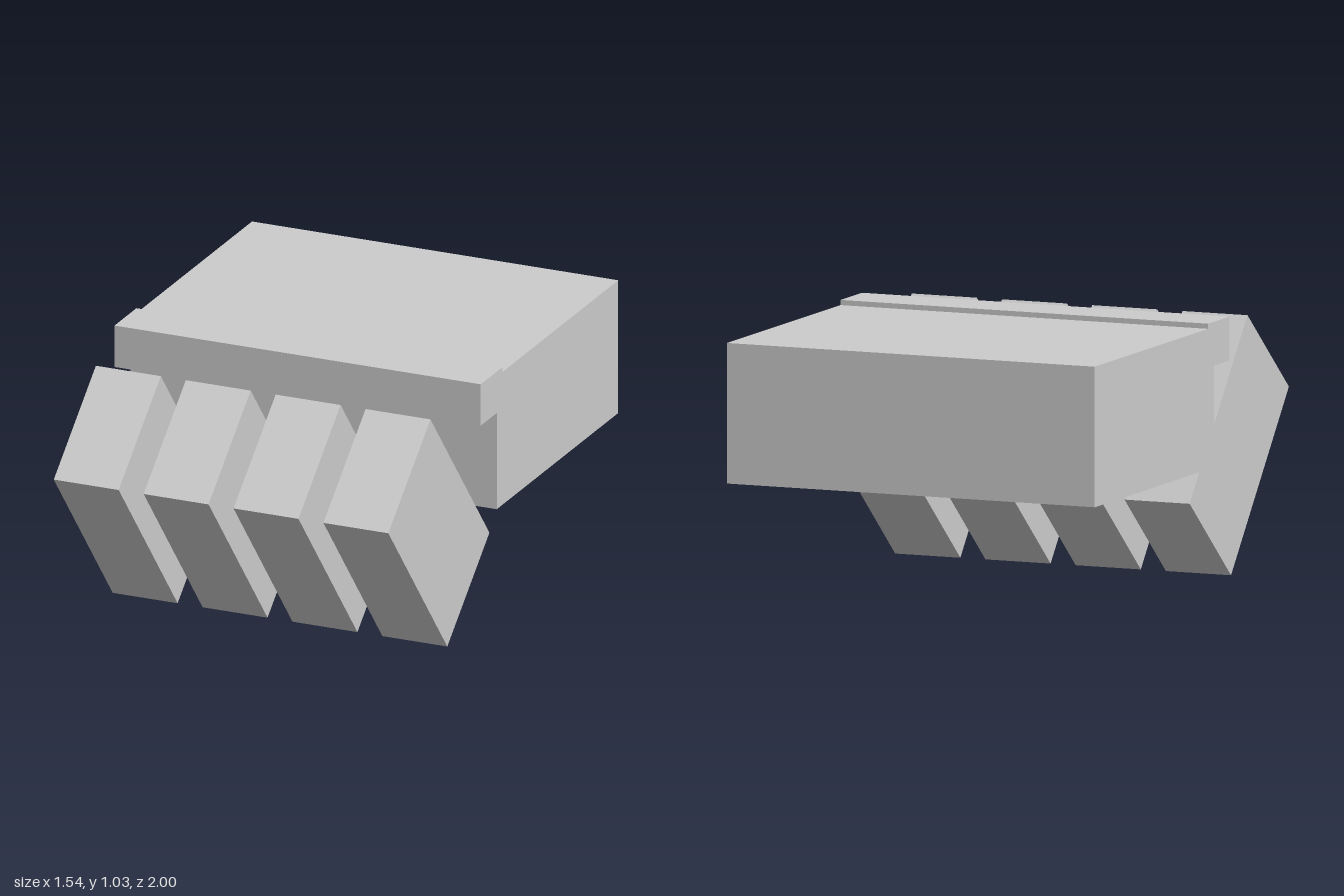
import * as THREE from 'three';

export function createModel() {
  const model = new THREE.Group();
  const grey = new THREE.MeshStandardMaterial({ color: 0xcccccc });
  grey.name = 'light grey';

  // Main block with an overhanging front lip: side profile as (z, y), extruded across x
  const width = 1.54;
  const profile = new THREE.Shape([
    [-1, 0.465], [0.135, 0.465], [0.135, 0.86], [0.285, 0.86],
    [0.285, 1.03], [0.08, 1.03], [0.08, 1.01], [-1, 1.01],
  ].map(([z, y]) => new THREE.Vector2(z, y)));
  const bodyGeometry = new THREE.ExtrudeGeometry(profile, { depth: width, bevelEnabled: false });
  bodyGeometry.translate(0, 0, -width / 2);
  bodyGeometry.rotateY(-Math.PI / 2); // profile z axis onto world z
  const body = new THREE.Mesh(bodyGeometry, grey);
  body.name = 'body';
  model.add(body);

  // Row of four tilted blocks in front
  const blockGeometry = new THREE.BoxGeometry(0.273, 0.857, 0.514);
  [-0.567, -0.189, 0.189, 0.567].forEach((x, i) => {
    const block = new THREE.Mesh(blockGeometry, grey);
    block.name = `tiltedBlock${i + 1}`;
    block.position.set(x, 0.494, 0.528);
    block.rotation.x = THREE.MathUtils.degToRad(40);
    model.add(block);
  });

  return model;
}
